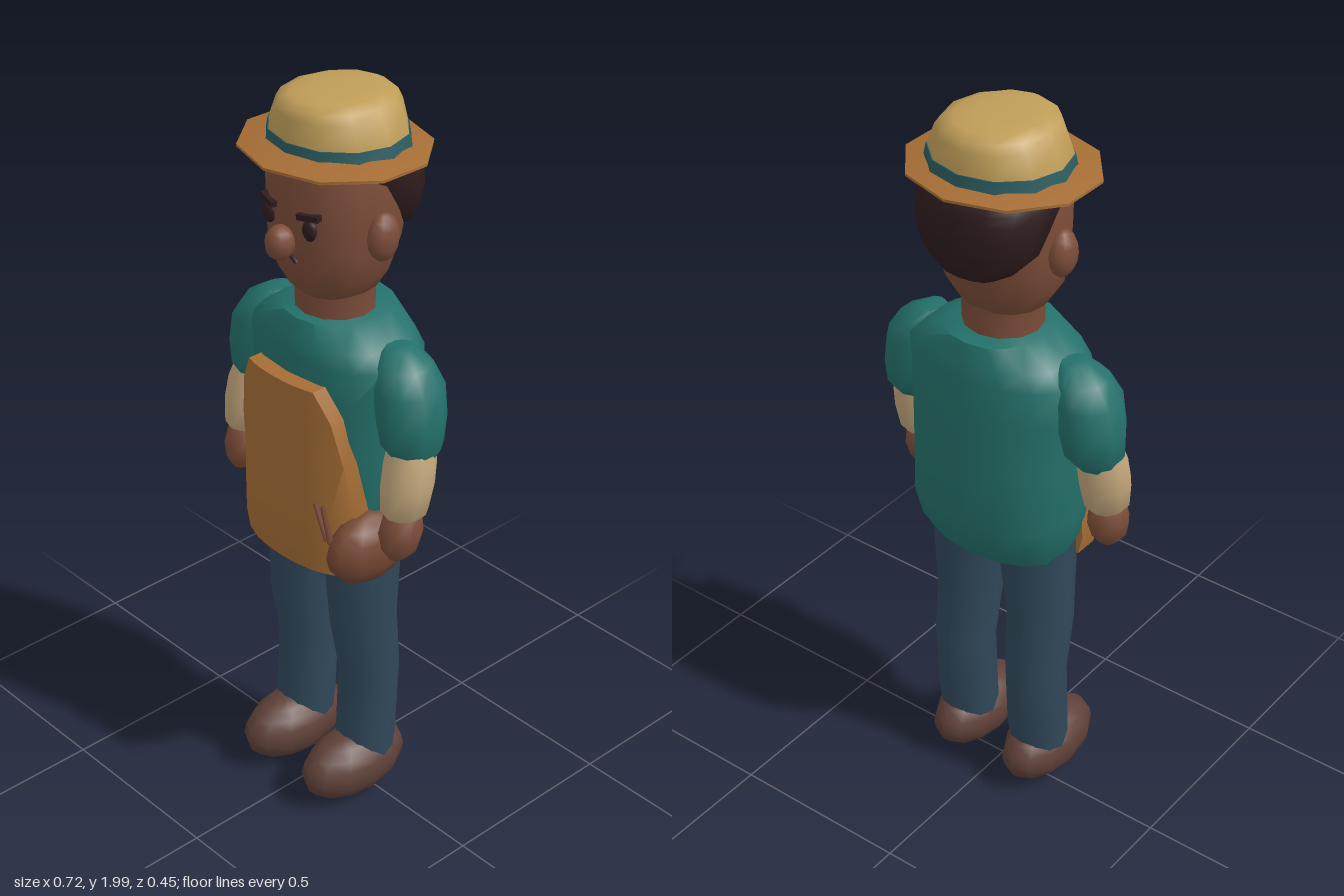
import * as THREE from 'three';
import { toCreasedNormals } from 'three/addons/utils/BufferGeometryUtils.js';

const mat = (name, color) => {
  const m = new THREE.MeshStandardMaterial({ color });
  m.name = name;
  return m;
};

// Closed surface through rings of [x, y, z] points, listed from bottom to top
function skinRings(rings) {
  const n = rings[0].length, pos = rings.flat(2), idx = [];
  for (let r = 0; r < rings.length - 1; r++) {
    for (let i = 0; i < n; i++) {
      const a = r * n + i, b = r * n + (i + 1) % n;
      idx.push(a, b, b + n, a, b + n, a + n);
    }
  }
  const cap = (ring, start, top) => {
    const c = pos.length / 3;
    for (let k = 0; k < 3; k++) pos.push(ring.reduce((s, p) => s + p[k], 0) / n);
    for (let i = 0; i < n; i++) {
      const a = start + i, b = start + (i + 1) % n;
      idx.push(c, top ? a : b, top ? b : a);
    }
  };
  cap(rings[0], 0, false);
  cap(rings[rings.length - 1], (rings.length - 1) * n, true);
  const g = new THREE.BufferGeometry();
  g.setAttribute('position', new THREE.Float32BufferAttribute(pos, 3));
  g.setIndex(idx);
  return toCreasedNormals(g, 0.95);
}

// Loft of rounded sections given as [y, radiusX, radiusZ, centreZ, centreX]
function loft(sections, sides = 12, power = 2) {
  const bend = v => Math.sign(v) * Math.pow(Math.abs(v), 2 / power);
  return skinRings(sections.map(([y, rx, rz, cz = 0, cx = 0]) =>
    Array.from({ length: sides }, (_, i) => {
      const a = (i / sides) * Math.PI * 2;
      return [cx + rx * bend(Math.sin(a)), y, cz + rz * bend(Math.cos(a))];
    })));
}

export function createModel() {
  const root = new THREE.Group();
  root.name = 'gardener';
  const skin = mat('skin', 0x7c4d39), hair = mat('darkHair', 0x2e1c1e);
  const shirt = mat('tealShirt', 0x24706a), apronMat = mat('ochreCanvas', 0xa56d35);
  const straw = mat('straw', 0xbf9d58), denim = mat('denim', 0x30485a);
  const leather = mat('shoeLeather', 0x5e4038), cuff = mat('beigeSleeve', 0xc2a67c);
  const pouchMat = mat('pouchLeather', 0x754733), bandMat = mat('hatBand', 0x2b5c60);

  const add = (name, geometry, material, parent = root) => {
    const m = new THREE.Mesh(geometry, material);
    m.name = name;
    parent.add(m);
    return m;
  };
  const ball = (name, material, p, r, w = 12, h = 8) => {
    const m = add(name, new THREE.SphereGeometry(1, w, h), material);
    m.position.set(...p);
    m.scale.set(...r);
    return m;
  };

  // Shirt body, neck and head
  add('torso', loft([
    [0.8, 0.2, 0.135, -0.005], [0.85, 0.222, 0.16, -0.01], [0.93, 0.235, 0.18, -0.012],
    [1.1, 0.235, 0.175, -0.012], [1.25, 0.24, 0.168, -0.01], [1.35, 0.25, 0.163, -0.007],
    [1.39, 0.21, 0.158, -0.006], [1.44, 0.125, 0.14, -0.01]], 16, 2.3), shirt);
  add('neck', loft([[1.4, 0.105, 0.1], [1.49, 0.105, 0.1], [1.52, 0.11, 0.1]], 12), skin);
  add('head', loft([
    [1.485, 0.075, 0.075, 0.015], [1.51, 0.115, 0.105, 0.008], [1.56, 0.146, 0.132, 0.008],
    [1.63, 0.162, 0.152, 0.003], [1.72, 0.17, 0.162, -0.005],
    [1.8, 0.169, 0.163, -0.005], [1.87, 0.155, 0.15, -0.005]], 16, 2.2), skin);

  // Hair fuller at the back, reaching the forehead only under the hat
  add('hair', loft([
    [1.635, 0.08, 0.045, -0.13], [1.66, 0.125, 0.075, -0.11], [1.7, 0.16, 0.1, -0.095],
    [1.76, 0.176, 0.125, -0.08], [1.8, 0.18, 0.143, -0.06], [1.825, 0.179, 0.165, -0.035],
    [1.84, 0.177, 0.18, -0.015], [1.87, 0.16, 0.16, -0.01]], 14, 2.2), hair);

  // Face
  ball('nose', skin, [0, 1.658, 0.178], [0.037, 0.045, 0.038], 10, 8);
  const mouth = add('mouth', new THREE.TorusGeometry(0.05, 0.006, 5, 8, 1.5), hair);
  mouth.position.set(0, 1.572, 0.155);
  mouth.rotation.z = Math.PI / 2 - 0.75;

  // Paired parts
  for (const s of [1, -1]) {
    const side = s > 0 ? 'left' : 'right';
    const at = rings => rings.map(([y, rx, rz, cz, cx]) => [y, rx, rz, cz, cx * s]);
    ball(side + 'Ear', skin, [s * 0.172, 1.678, 0.005], [0.034, 0.062, 0.045], 10, 8);
    ball(side + 'Eye', hair, [s * 0.072, 1.704, 0.148], [0.022, 0.027, 0.013], 10, 8);
    const brow = add(side + 'Brow', new THREE.BoxGeometry(0.06, 0.015, 0.02), hair);
    brow.position.set(s * 0.07, 1.738, 0.148);
    brow.rotation.set(0, s * 0.25, s * 0.1);

    add(side + 'Sleeve', loft(at([
      [1.125, 0.055, 0.055, 0.005, 0.285], [1.16, 0.077, 0.08, 0.002, 0.28],
      [1.23, 0.083, 0.092, 0, 0.274], [1.31, 0.083, 0.093, -0.002, 0.262],
      [1.365, 0.068, 0.075, -0.004, 0.24], [1.4, 0.03, 0.04, -0.005, 0.22]]), 10), shirt);
    add(side + 'Forearm', loft(at([
      [0.965, 0.035, 0.04, 0.042, 0.296], [0.99, 0.058, 0.062, 0.04, 0.296],
      [1.06, 0.068, 0.068, 0.03, 0.295], [1.12, 0.068, 0.066, 0.02, 0.292],
      [1.18, 0.055, 0.055, 0.01, 0.285]]), 10), cuff);
    add(side + 'Hand', loft(at([
      [0.86, 0.022, 0.03, 0.058, 0.296], [0.885, 0.044, 0.05, 0.055, 0.296],
      [0.93, 0.053, 0.06, 0.05, 0.295], [0.98, 0.046, 0.05, 0.045, 0.295],
      [1.005, 0.025, 0.03, 0.042, 0.295]]), 10), skin);

    add(side + 'Leg', loft(at([
      [0.12, 0.08, 0.078, 0.005, 0.119], [0.2, 0.083, 0.082, -0.002, 0.119],
      [0.4, 0.083, 0.083, -0.012, 0.119], [0.56, 0.088, 0.092, 0.008, 0.117],
      [0.78, 0.103, 0.105, 0.004, 0.107], [0.88, 0.105, 0.115, 0, 0.105]]), 12), denim);
    ball(side + 'Shoe', leather, [s * 0.119, 0.102, 0.044], [0.092, 0.096, 0.168], 12, 10);
  }

  // Apron: curved front, flared towards the hem, closed at the back inside the shirt
  const apronRing = ([y, w, back, puff]) => {
    const ring = [[-w, y, back]];
    for (let i = 0; i <= 8; i++) {
      const x = w * (i / 4 - 1);
      ring.push([x, y, -0.01 + puff * Math.pow(1 - Math.pow(Math.abs(x) / 0.245, 2.4), 1 / 2.4)]);
    }
    ring.push([w, y, back]);
    return ring;
  };
  add('apron', skinRings([
    [0.775, 0.205, 0.05, 0.2], [0.83, 0.217, 0.05, 0.21], [0.95, 0.21, 0.05, 0.212],
    [1.1, 0.188, 0.06, 0.212], [1.22, 0.162, 0.08, 0.21], [1.3, 0.118, 0.1, 0.208],
  ].map(apronRing)), apronMat);

  // Hip pouch with two small tool handles
  ball('hipPouch', pouchMat, [0.21, 0.862, 0.08], [0.07, 0.1, 0.13], 10, 8);
  for (const [x, tilt] of [[0.15, 0.45], [0.17, 0.3]]) {
    const tool = add('toolHandle', new THREE.CylinderGeometry(0.007, 0.009, 0.1, 6), pouchMat);
    tool.position.set(x, 0.945, 0.185);
    tool.rotation.z = tilt;
  }

  // Straw hat
  const hat = new THREE.Group();
  hat.name = 'hat';
  root.add(hat);
  add('brim', loft([[1.836, 0.18, 0.16], [1.857, 0.25, 0.225], [1.864, 0.25, 0.225],
    [1.882, 0.18, 0.16]], 10), apronMat, hat);
  add('hatBand', loft([[1.865, 0.191, 0.171, -0.01], [1.905, 0.181, 0.165, -0.01]], 12), bandMat, hat);
  add('crown', loft([[1.87, 0.184, 0.166, -0.01], [1.91, 0.177, 0.162, -0.01],
    [1.96, 0.155, 0.155, -0.01], [1.983, 0.138, 0.147, -0.009], [1.996, 0.105, 0.125, -0.008],
    [2.0, 0.06, 0.08, -0.008]], 12), straw, hat);

  return root;
}
